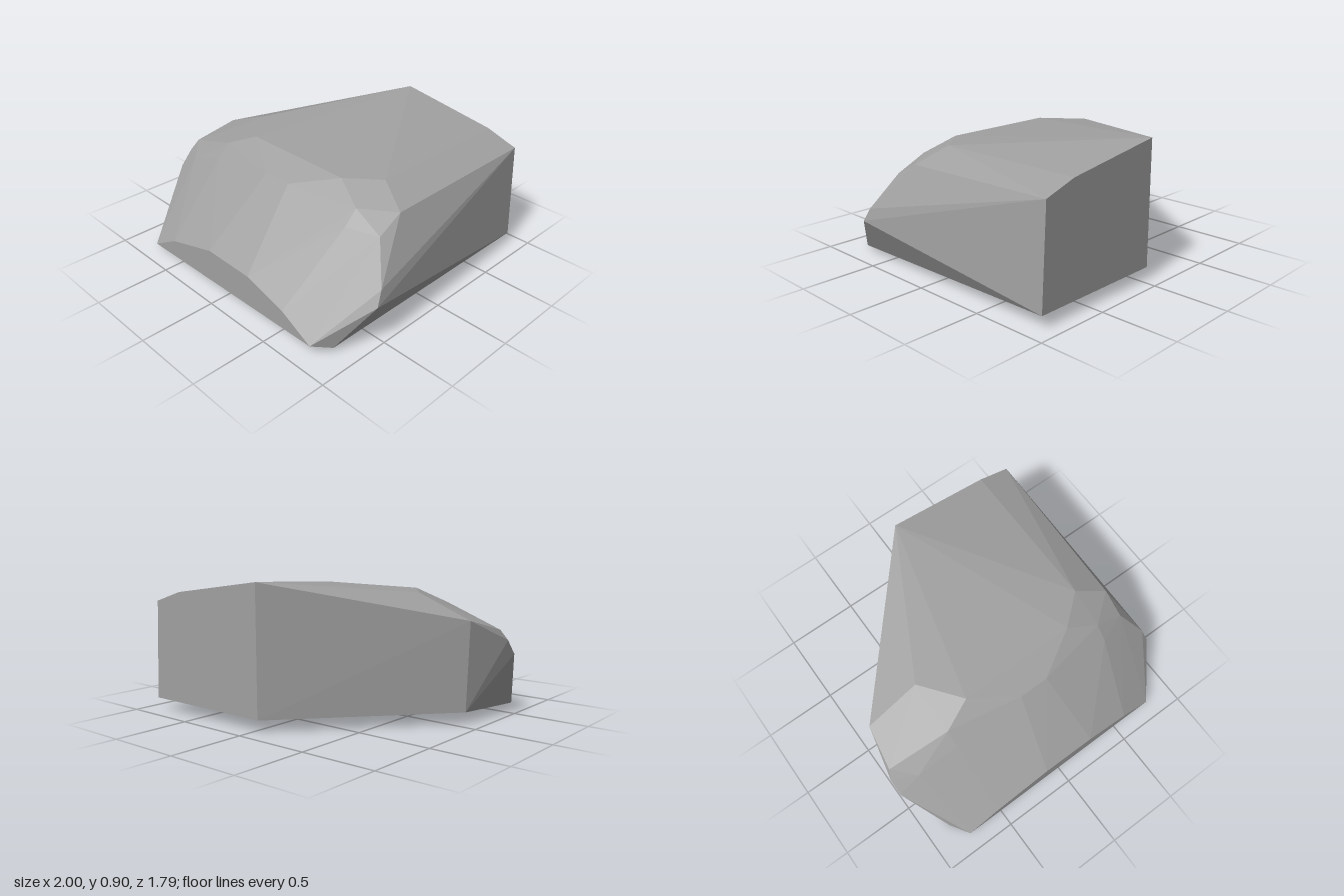
import * as THREE from 'three';
import { ConvexGeometry } from 'three/addons/geometries/ConvexGeometry.js';

export function createModel() {
  const model = new THREE.Group();
  model.name = 'boulder';
  const stone = new THREE.MeshStandardMaterial({ color: 0xa0a0a0 });
  stone.name = 'grey stone';

  // Corners of the chipped stone, as [x, y, z]
  const corners = [
    // sheer back face
    [-0.05, 0.9, -0.9], [0.64, 0.8, -0.9], [0.86, 0.73, -0.9], [0.89, 0.08, -0.9], [-0.05, 0.08, -0.9],
    // underside
    [-0.9, 0.08, 0.05], [-0.84, 0, 0.76], [0.85, 0.03, 0.77],
    // low upright front
    [-0.76, 0.035, 0.89], [0.78, 0.07, 0.89], [0.55, 0.19, 0.89],
    [0.24, 0.275, 0.89], [-0.13, 0.28, 0.89], [-0.53, 0.165, 0.89],
    // brow of the top
    [-0.55, 0.8, 0.04], [-0.35, 0.8, 0.3], [0.44, 0.8, 0.3], [0.64, 0.8, 0.13],
    [-0.05, 0.71, 0.47], [0.15, 0.71, 0.47],
    // right and left shoulders
    [-0.92, 0.65, 0.05], [-0.55, 0.71, 0.38], [-0.55, 0.62, 0.47], [-0.84, 0.52, 0.46],
    [-0.97, 0.57, 0.33], [-1, 0.5, 0.38], [-1, 0.4, 0.47],
    [0.64, 0.71, 0.38], [0.64, 0.62, 0.47], [0.84, 0.7, 0.22], [0.84, 0.61, 0.39],
    [0.98, 0.38, 0.52], [1, 0.29, 0.57],
  ].map((p) => new THREE.Vector3(...p));

  const rock = new THREE.Mesh(new ConvexGeometry(corners), stone);
  rock.name = 'rock';
  model.add(rock);
  return model;
}
